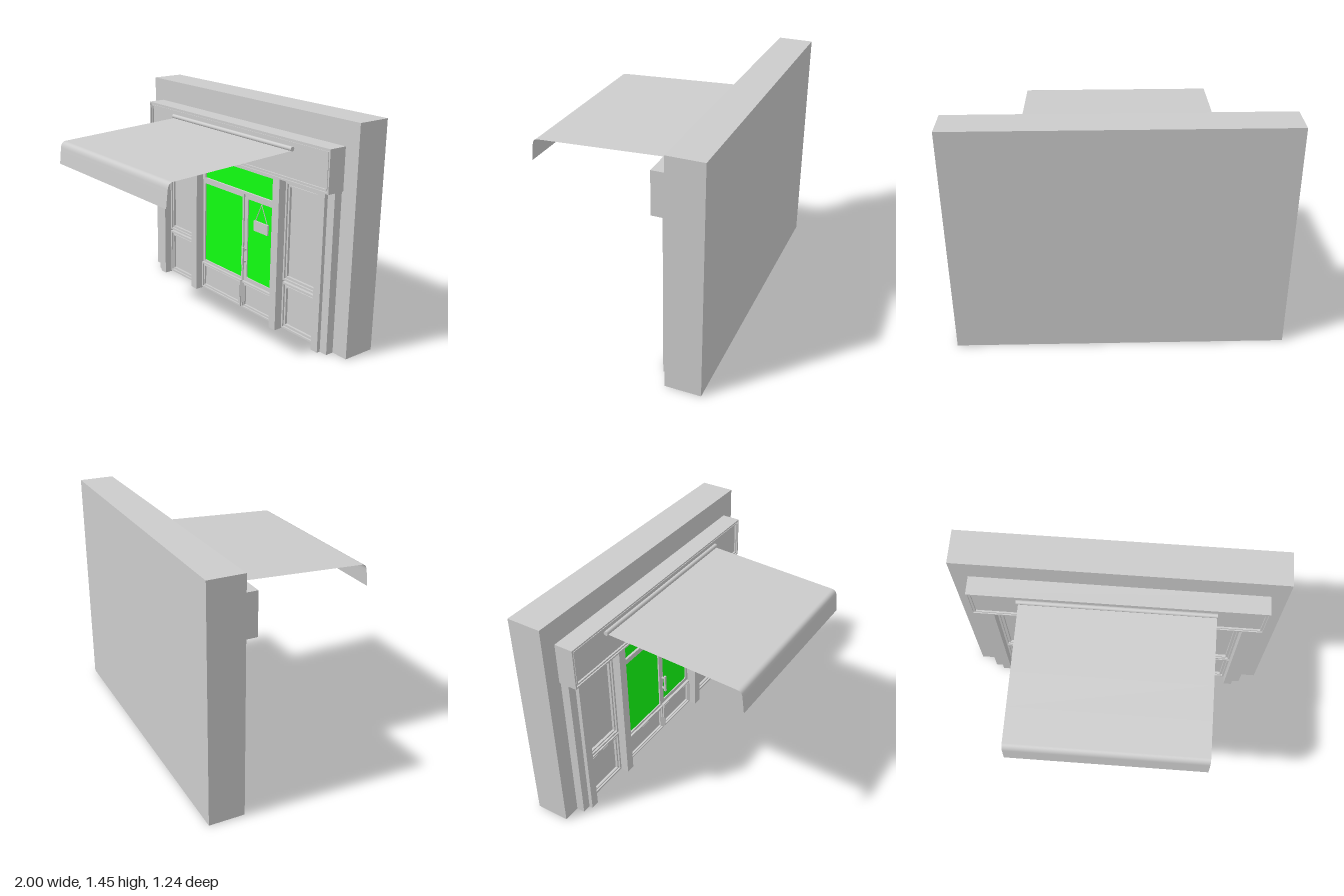
import * as THREE from 'three';

const grey = new THREE.MeshStandardMaterial({ color: 0xcccccc });
const thin = new THREE.MeshStandardMaterial({ color: 0xcccccc, side: THREE.DoubleSide });
const green = new THREE.MeshStandardMaterial({ color: 0x12ff12 });
const WALL = -0.4; // front plane of the wall

export function createModel() {
  const model = new THREE.Group();

  const add = (name, geometry, material = grey, parent = model) => {
    const mesh = new THREE.Mesh(geometry, material);
    mesh.name = name;
    parent.add(mesh);
    return mesh;
  };

  // Box given by its bounds
  const box = (name, x0, x1, y0, y1, z0, z1, material, parent) =>
    add(name, new THREE.BoxGeometry(x1 - x0, y1 - y0, z1 - z0), material, parent)
      .position.set((x0 + x1) / 2, (y0 + y1) / 2, (z0 + z1) / 2);

  // Rectangle with optional round corners
  const rect = (path, x0, x1, y0, y1, r = 0) => {
    path.moveTo(x0 + r, y0).lineTo(x1 - r, y0);
    if (r) path.absarc(x1 - r, y0 + r, r, -Math.PI / 2, 0);
    path.lineTo(x1, y1 - r);
    if (r) path.absarc(x1 - r, y1 - r, r, 0, Math.PI / 2);
    path.lineTo(x0 + r, y1);
    if (r) path.absarc(x0 + r, y1 - r, r, Math.PI / 2, Math.PI);
    path.lineTo(x0, y0 + r);
    if (r) path.absarc(x0 + r, y0 + r, r, Math.PI, Math.PI * 1.5);
    path.closePath();
    return path;
  };

  // Board with rectangular openings [x0, x1, y0, y1, radius]
  const board = (name, x0, x1, y0, y1, z0, z1, openings, parent) => {
    const shape = rect(new THREE.Shape(), x0, x1, y0, y1);
    for (const o of openings) shape.holes.push(rect(new THREE.Path(), ...o));
    const geometry = new THREE.ExtrudeGeometry(shape, { depth: z1 - z0, bevelEnabled: false, curveSegments: 6 });
    add(name, geometry, grey, parent).position.z = z0;
  };

  // Stepped picture-frame moulding: a proud outer rim and a lower inner bead
  const moulding = (name, x0, x1, y0, y1, z, w, h) => {
    const group = new THREE.Group();
    group.name = name;
    const steps = [[0, 0.4, 1], [0.4, 0.7, 0.45], [0.7, 1, 0.75]];
    for (const [a, b, height] of steps) {
      const p = a * w, q = b * w;
      board('mouldingStep', x0 + p, x1 - p, y0 + p, y1 - p, z, z + h * height,
        [[x0 + q, x1 - q, y0 + q, y1 - q]], group);
    }
    model.add(group);
  };

  // Wall
  box('wall', -1, 1, 0, 1.445, -0.62, WALL);

  // Sign box with a framed, recessed face
  box('signBox', -0.9, 0.9, 1.03, 1.295, WALL, -0.295);
  moulding('signFrame', -0.9, 0.9, 1.03, 1.295, -0.295, 0.026, 0.015);

  // Pilasters and panelled bays on both sides
  for (const s of [-1, 1]) {
    const span = (a, b) => (s > 0 ? [a, b] : [-b, -a]);
    box('outerPilaster', ...span(0.835, 0.89), 0, 1.03, WALL, -0.345);
    box('cornerPilaster', ...span(0.78, 0.835), 0, 1.03, WALL, -0.32);
    box('doorPilaster', ...span(0.39, 0.45), 0, 1.03, WALL, -0.32);
    box('bayBacking', ...span(0.45, 0.78), 0, 1.03, WALL, -0.392);
    moulding('upperPanelFrame', ...span(0.455, 0.777), 0.343, 0.995, -0.392, 0.032, 0.022);
    moulding('lowerPanelFrame', ...span(0.455, 0.777), 0.01, 0.33, -0.392, 0.032, 0.022);
  }
  box('headRail', -0.39, 0.39, 1, 1.03, WALL, -0.385);

  // Shopfront: transom and side window
  board('windowFrame', -0.39, 0.05, 0.205, 0.815, WALL, -0.38, [[-0.37, 0.035, 0.22, 0.79]]);
  board('transomFrame', -0.39, 0.39, 0.815, 1, WALL, -0.375, [[-0.365, 0.375, 0.832, 0.98]]);
  box('transomGlass', -0.366, 0.376, 0.831, 0.981, WALL, -0.39, green);
  box('windowGlass', -0.371, 0.036, 0.219, 0.791, WALL, -0.39, green);
  box('windowBase', -0.39, 0.05, 0, 0.205, WALL, -0.385);
  moulding('windowBaseFrame', -0.387, 0.045, 0.01, 0.203, -0.385, 0.026, 0.018);

  // Door with a round-cornered pane
  board('door', 0.055, 0.39, 0, 0.81, WALL, -0.385, [[0.085, 0.365, 0.23, 0.785, 0.012]]);
  box('doorGlass', 0.084, 0.366, 0.229, 0.786, WALL, -0.393, green);
  moulding('doorBaseFrame', 0.057, 0.387, 0.01, 0.203, -0.385, 0.026, 0.018);

  // Door handle
  box('handleGrip', 0.064, 0.08, 0.325, 0.45, -0.365, -0.353);
  for (const y of [0.34, 0.425]) box('handleMount', 0.067, 0.077, y, y + 0.01, -0.385, -0.365);

  // Hanging plate on two cords
  box('hangingPlate', 0.153, 0.289, 0.588, 0.658, -0.39, -0.378);
  for (const x of [0.163, 0.28]) {
    const cord = new THREE.LineCurve3(new THREE.Vector3(x, 0.655, -0.385), new THREE.Vector3(0.221, 0.778, -0.385));
    add('cord', new THREE.TubeGeometry(cord, 1, 0.003, 6));
  }
  add('cordHook', new THREE.SphereGeometry(0.005, 10, 8)).position.set(0.221, 0.778, -0.386);

  // Awning roller
  const roller = add('awningRoller', new THREE.CylinderGeometry(0.014, 0.014, 1.2, 16));
  roller.rotation.z = Math.PI / 2;
  roller.position.set(-0.005, 1.237, -0.28);

  // Awning cloth: gentle slope, rounded fold, hanging valance
  const profile = new THREE.CurvePath();
  const v = (z, y) => new THREE.Vector3(0, y, z);
  profile.add(new THREE.LineCurve3(v(-0.28, 1.226), v(0.575, 1.183)));
  profile.add(new THREE.QuadraticBezierCurve3(v(0.575, 1.183), v(0.603, 1.181), v(0.608, 1.145)));
  profile.add(new THREE.LineCurve3(v(0.608, 1.145), v(0.62, 1.04)));
  const points = profile.curves.flatMap((c, i) => c.getPoints(i === 1 ? 10 : 4).slice(i ? 1 : 0));
  const cloth = new THREE.PlaneGeometry(1.185, 1, 1, points.length - 1);
  const pos = cloth.attributes.position;
  for (let i = 0; i < pos.count; i++) {
    const p = points[Math.floor(i / 2)];
    pos.setXYZ(i, pos.getX(i), p.y, p.z);
  }
  cloth.computeVertexNormals();
  add('awningCloth', cloth, thin);

  return model;
}
